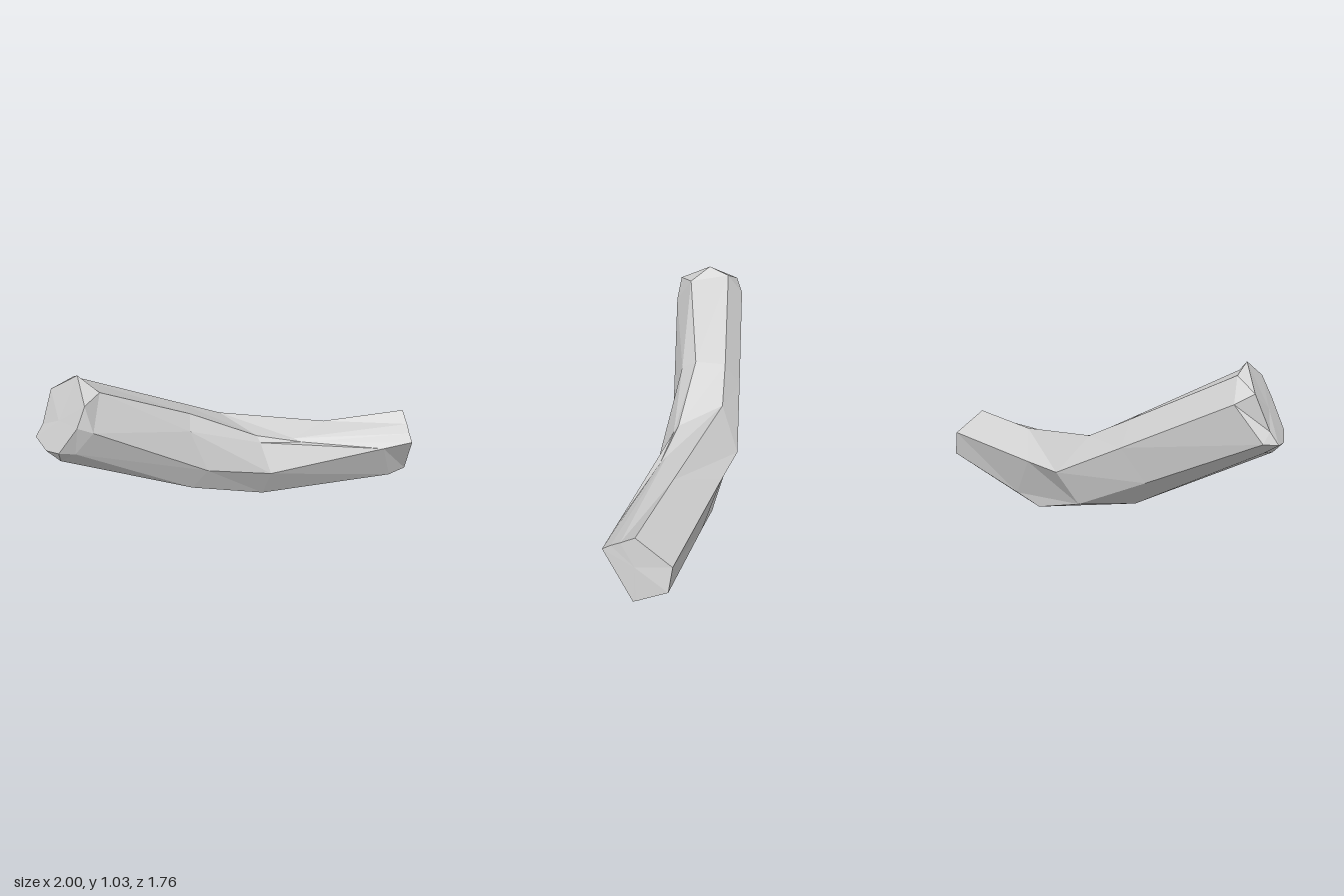
import * as THREE from 'three';

// Faceted bent limb: eight-sided cross-sections from the raised front end to the low back end.
// Each section runs top, inner side, underside, outer side.
const raisedEnd = [
  [-0.72, 1.03, 0.65], [-0.59, 0.93, 0.80], [-0.62, 0.81, 0.85], [-0.74, 0.64, 0.88],
  [-0.87, 0.60, 0.82], [-1.00, 0.62, 0.73], [-0.97, 0.69, 0.69], [-0.94, 0.89, 0.61]];
const bevel = [
  [-0.81, 0.97, 0.56], [-0.57, 0.96, 0.67], [-0.55, 0.77, 0.80], [-0.67, 0.62, 0.82],
  [-0.80, 0.53, 0.79], [-0.95, 0.57, 0.67], [-1.00, 0.63, 0.64], [-0.90, 0.83, 0.51]];
const upperBend = [
  [-0.38, 0.66, 0.08], [-0.24, 0.67, 0.21], [-0.20, 0.60, 0.30], [-0.10, 0.33, 0.27],
  [-0.21, 0.18, 0.27], [-0.34, 0.13, 0.13], [-0.52, 0.31, 0.14], [-0.45, 0.51, 0.01]];
const lowerBend = [
  [-0.19, 0.53, -0.12], [0.10, 0.46, -0.04], [0.13, 0.42, -0.03], [0.22, 0.235, 0.01],
  [0.13, 0.015, -0.08], [0.11, 0.00, -0.39], [-0.19, 0.10, -0.19], [-0.15, 0.30, -0.32]];
const lowerArm = [
  [0.43, 0.45, -0.41], [0.30, 0.41, -0.18], [0.36, 0.39, -0.19], [0.84, 0.327, -0.41],
  [0.86, 0.04, -0.58], [0.32, 0.01, -0.47], [0.29, 0.05, -0.51], [0.10, 0.31, -0.46]];
const lowEnd = [
  [0.89, 0.49, -0.68], [0.94, 0.43, -0.61], [0.97, 0.39, -0.56], [1.00, 0.35, -0.52],
  [0.94, 0.045, -0.70], [0.93, 0.06, -0.72], [0.83, 0.20, -0.88], [0.79, 0.36, -0.87]];

function facetMesh(name, triangles, material) {
  const geometry = new THREE.BufferGeometry();
  geometry.setAttribute('position', new THREE.Float32BufferAttribute(triangles.flat(2), 3));
  geometry.computeVertexNormals();
  const mesh = new THREE.Mesh(geometry, material);
  mesh.name = name;
  return mesh;
}

// Join neighbouring sections with two triangles per side
function skin(rings) {
  const out = [];
  for (let r = 0; r < rings.length - 1; r++) {
    const near = rings[r], far = rings[r + 1];
    near.forEach((a, i) => {
      const j = (i + 1) % near.length;
      out.push([a, near[j], far[j]], [a, far[j], far[i]]);
    });
  }
  return out;
}

// Close a section with a fan around its centre
function cap(ring, reversed) {
  const centre = [0, 1, 2].map(k => ring.reduce((s, p) => s + p[k], 0) / ring.length);
  return ring.map((p, i) => {
    const q = ring[(i + 1) % ring.length];
    return reversed ? [centre, q, p] : [centre, p, q];
  });
}

export function createModel() {
  const group = new THREE.Group();
  group.name = 'bentLimb';
  const grey = new THREE.MeshStandardMaterial({ color: 0xd0d0d0 });
  grey.name = 'grey';
  grey.flatShading = true;
  group.add(
    facetMesh('body', skin([raisedEnd, bevel, upperBend, lowerBend, lowerArm, lowEnd]), grey),
    facetMesh('raisedEndCap', cap(raisedEnd, true), grey),
    facetMesh('lowEndCap', cap(lowEnd, false), grey));
  return group;
}
